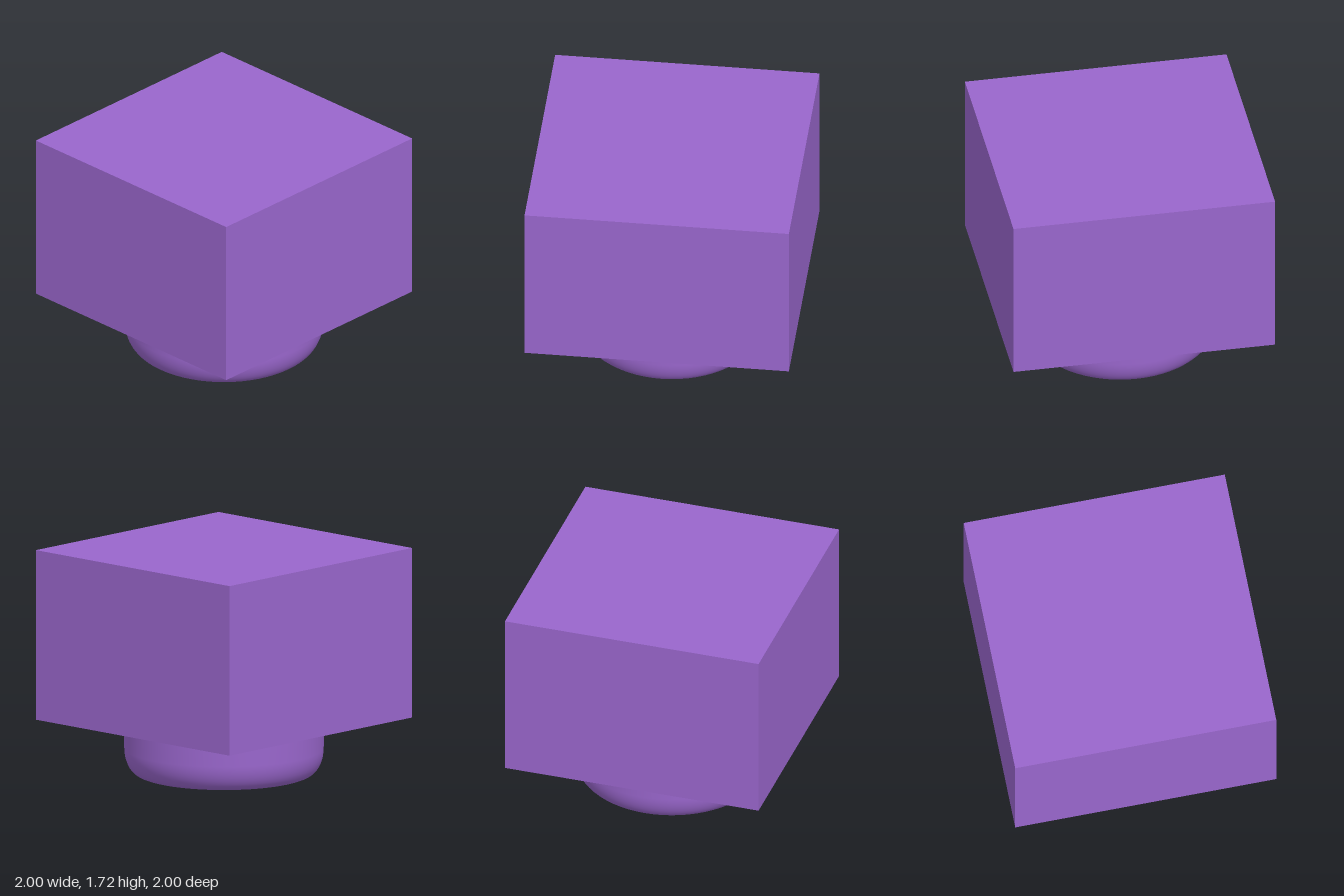
import * as THREE from 'three';

export function createModel() {
  const group = new THREE.Group();
  const material = new THREE.MeshStandardMaterial({ color: 0x9966cc });

  const bottom = 0.42, top = 1.72;

  // Square block
  const block = new THREE.Mesh(new THREE.BoxGeometry(2, top - bottom, 2), material);
  block.name = 'block';
  block.position.y = (bottom + top) / 2;
  group.add(block);

  // Round foot: flat underside, elliptical rounded rim, straight wall
  const radius = 0.75, roundX = 0.12, roundY = 0.2, steps = 10;
  const profile = [new THREE.Vector2(0, 0)];
  for (let i = 0; i <= steps; i++) {
    const a = (i / steps) * Math.PI / 2;
    profile.push(new THREE.Vector2(
      radius - roundX + roundX * Math.sin(a),
      roundY - roundY * Math.cos(a)
    ));
  }
  profile.push(new THREE.Vector2(radius, bottom));

  const foot = new THREE.Mesh(new THREE.LatheGeometry(profile, 64), material);
  foot.name = 'foot';
  group.add(foot);

  return group;
}
